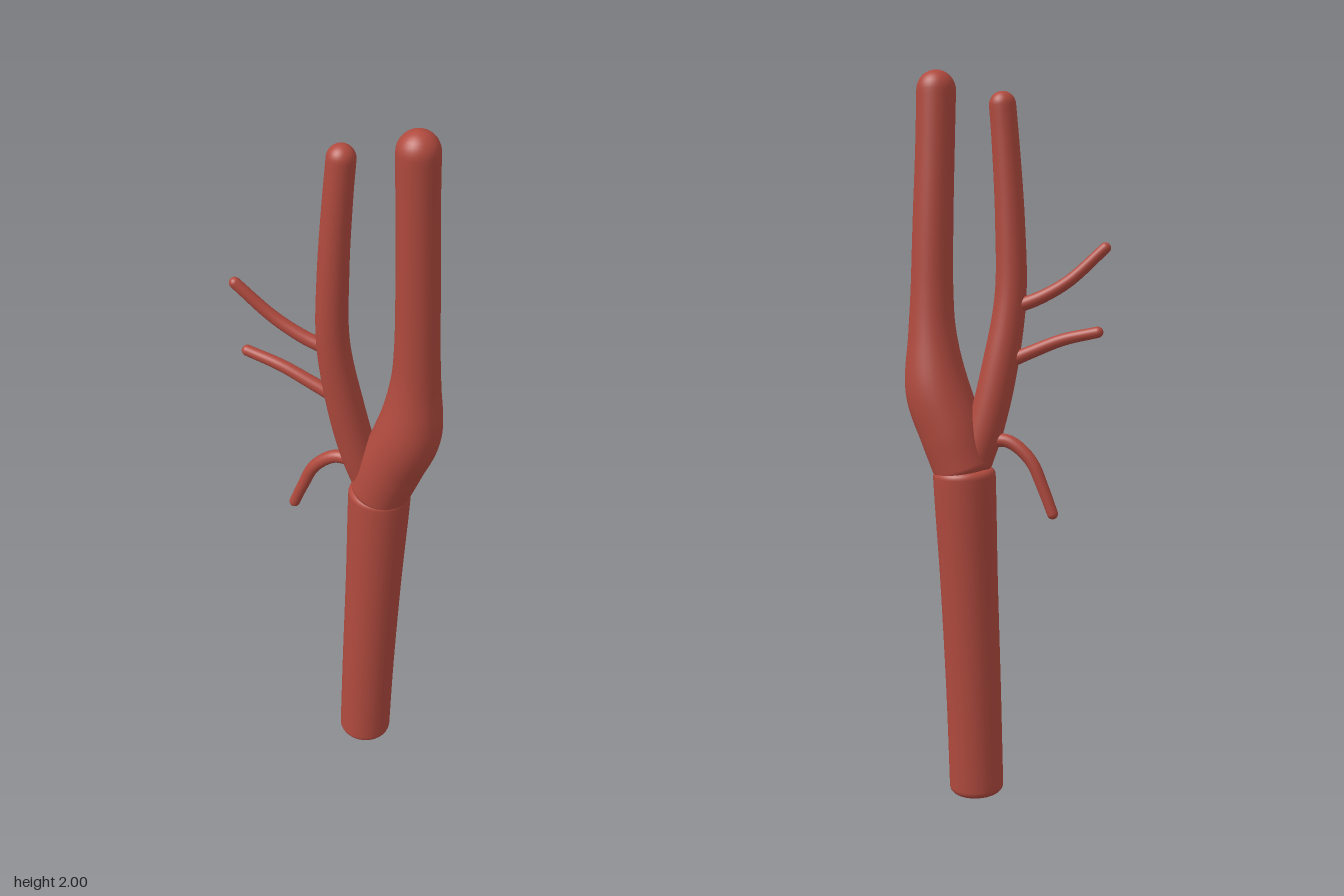
import * as THREE from 'three';
import { mergeVertices } from 'three/addons/utils/BufferGeometryUtils.js';

const SIDES = 32, CAP_STEPS = 8;

// Tube of changing radius through [x, y, z, radius] stations, with rounded ends.
// A cap as long as the end radius gives a dome; a shorter one a bevelled flat end.
function vesselGeometry(stations, startCap, endCap, steps) {
  const path = new THREE.CatmullRomCurve3(stations.map(([x, y, z]) => new THREE.Vector3(x, y, z)));
  const radii = new THREE.SplineCurve(stations.map((s, i) => new THREE.Vector2(i, s[3])));
  const frames = path.computeFrenetFrames(steps, false);
  const positions = [], indices = [];
  let rings = 0;

  const addRing = (i, shift, shrink) => {
    const u = i / steps;
    const radius = Math.max(0, radii.getPoint(path.getUtoTmapping(u)).y - shrink);
    const centre = path.getPointAt(u).addScaledVector(frames.tangents[i], shift);
    for (let j = 0; j < SIDES; j++) {
      const a = j / SIDES * Math.PI * 2;
      const p = centre.clone()
        .addScaledVector(frames.normals[i], Math.cos(a) * radius)
        .addScaledVector(frames.binormals[i], Math.sin(a) * radius);
      positions.push(p.x, p.y, p.z);
    }
    rings++;
  };

  // start cap, body, end cap
  addRing(0, -startCap, 1);
  for (let k = 0; k < CAP_STEPS; k++) {
    const a = k / CAP_STEPS * Math.PI / 2;
    addRing(0, -startCap * Math.cos(a), startCap * (1 - Math.sin(a)));
  }
  for (let i = 0; i <= steps; i++) addRing(i, 0, 0);
  for (let k = CAP_STEPS - 1; k >= 0; k--) {
    const a = k / CAP_STEPS * Math.PI / 2;
    addRing(steps, endCap * Math.cos(a), endCap * (1 - Math.sin(a)));
  }
  addRing(steps, endCap, 1);

  for (let r = 0; r < rings - 1; r++) {
    for (let j = 0; j < SIDES; j++) {
      const k = (j + 1) % SIDES;
      const a = r * SIDES + j, b = r * SIDES + k;
      const c = a + SIDES, d = b + SIDES;
      indices.push(a, b, d, a, d, c);
    }
  }
  let geometry = new THREE.BufferGeometry();
  geometry.setAttribute('position', new THREE.Float32BufferAttribute(positions, 3));
  geometry.setIndex(indices);
  geometry = mergeVertices(geometry, 1e-5);
  geometry.computeVertexNormals();
  return geometry;
}

export function createModel() {
  const model = new THREE.Group();
  model.name = 'branchingArtery';
  const arteryRed = new THREE.MeshStandardMaterial({ color: 0xb04a3e });
  arteryRed.name = 'arteryRed';

  const addVessel = (name, stations, startCap, endCap, steps = 40) => {
    const mesh = new THREE.Mesh(vesselGeometry(stations, startCap, endCap, steps), arteryRed);
    mesh.name = name;
    model.add(mesh);
  };

  // main trunk with bevelled ends
  addVessel('trunk', [
    [0.018, 0.02, 0.077, 0.076], [0.026, 0.3, 0.08, 0.077],
    [0.038, 0.62, 0.085, 0.08], [0.05, 0.915, 0.09, 0.086],
  ], 0.02, 0.02);

  // large branch with a swollen base
  addVessel('bulbBranch', [
    [0.05, 0.935, 0.093, 0.083], [0.062, 1.03, 0.123, 0.088],
    [0.075, 1.15, 0.165, 0.088], [0.078, 1.3, 0.18, 0.066],
    [0.074, 1.42, 0.184, 0.058], [0.067, 1.6, 0.185, 0.055],
    [0.058, 1.8, 0.184, 0.053], [0.052, 1.947, 0.184, 0.053],
  ], 0.02, 0.053, 70);

  // slender branch
  addVessel('slenderBranch', [
    [0.038, 0.96, 0.06, 0.048], [0.02, 1.05, 0.038, 0.05],
    [-0.005, 1.2, 0.013, 0.049], [-0.032, 1.4, -0.005, 0.043],
    [-0.036, 1.6, 0, 0.04], [-0.03, 1.8, 0.01, 0.037],
    [-0.024, 1.904, 0.016, 0.036],
  ], 0.02, 0.036, 70);

  // small side twigs, all domed at the tip
  const twigs = {
    upperTwig: [[-0.035, 1.375, -0.02], [-0.065, 1.4, -0.08], [-0.1, 1.445, -0.15], [-0.15, 1.532, -0.232]],
    middleTwig: [[-0.02, 1.225, 0], [-0.05, 1.258, -0.07], [-0.08, 1.29, -0.145], [-0.115, 1.313, -0.236]],
    lowerTwig: [[0.018, 1.015, 0.03], [-0.005, 1.013, -0.025], [-0.028, 0.965, -0.08], [-0.042, 0.89, -0.113], [-0.052, 0.822, -0.138]],
  };
  for (const [name, points] of Object.entries(twigs)) {
    const stations = points.map((p, i) => [...p, 0.019 - 0.004 * i / (points.length - 1)]);
    addVessel(name, stations, 0.01, 0.015, 24);
  }
  return model;
}
